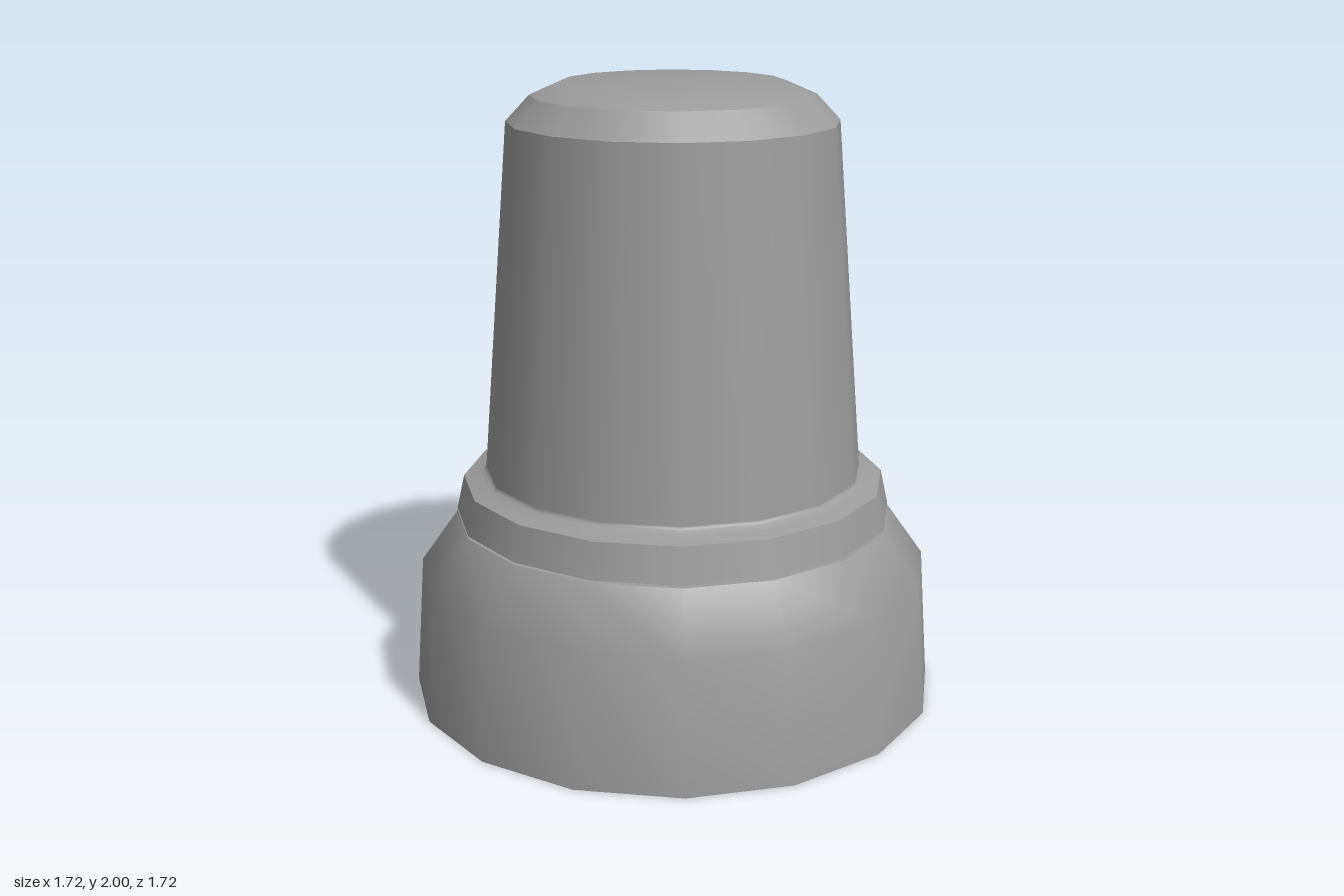
import * as THREE from 'three';

const SIDES = 16;

// Revolve a [radius, height] profile; going upward makes the surface face outward.
function turned(name, profile, options = {}) {
  const points = profile.map(([r, y]) => new THREE.Vector2(r, y));
  const geometry = new THREE.LatheGeometry(points, SIDES);
  geometry.normalizeNormals();
  const mesh = new THREE.Mesh(
    geometry,
    new THREE.MeshStandardMaterial({ color: 0x9c9c9c, ...options })
  );
  mesh.name = name;
  return mesh;
}

export function createModel() {
  const model = new THREE.Group();
  model.name = 'cappedNozzle';

  // Open skirt with a sloping shoulder and a flat inward lip
  const base = new THREE.Group();
  base.name = 'base';
  base.add(
    turned('baseSkirt', [[0.86, 0], [0.83, 0.43], [0.71, 0.599]], { side: THREE.DoubleSide }),
    turned('baseLip', [[0.71, 0.599], [0.58, 0.599]], { side: THREE.DoubleSide })
  );

  // Cap: separate strips keep the creases sharp
  const cap = new THREE.Group();
  cap.name = 'cap';
  cap.add(
    turned('capSocket', [[0, 0.805], [0.58, 0.805], [0.58, 0.599]], { flatShading: true }),
    turned('collarUnderside', [[0.58, 0.607], [0.71, 0.607]]),
    turned('collarBand', [[0.71, 0.607], [0.685, 0.72]]),
    // Collar top flows into the tapered wall through a small fillet
    turned('capBody', [
      [0.685, 0.72], [0.64, 0.732], [0.62, 0.742], [0.614, 0.748], [0.611, 0.755], [0.522, 1.873]
    ]),
    turned('capBevel', [[0.522, 1.873], [0.447, 1.953]]),
    turned('capDome', [[0.447, 1.953], [0.35, 1.995], [0, 2]])
  );

  model.add(base, cap);
  return model;
}
